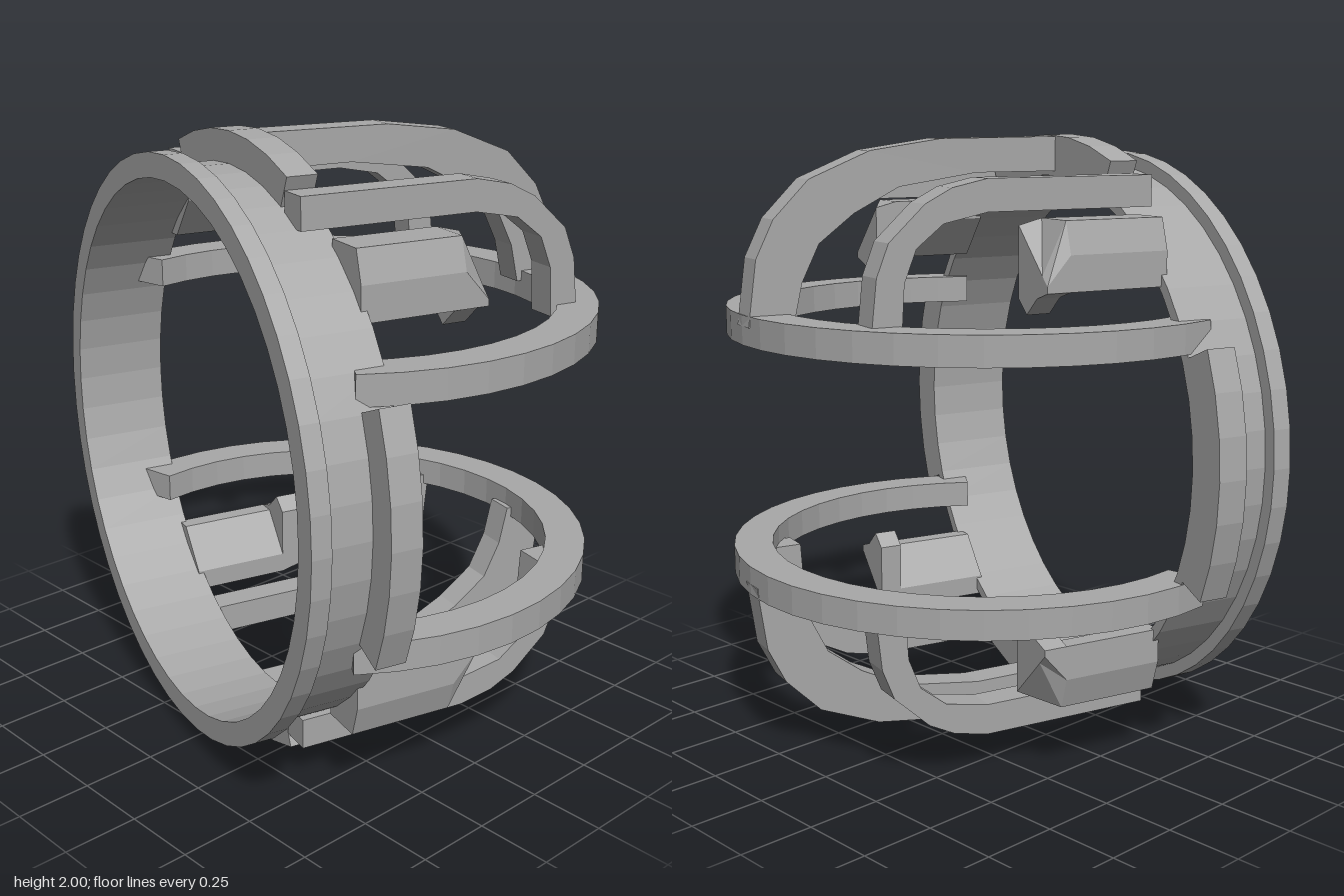
import * as THREE from 'three';

const grey = new THREE.MeshStandardMaterial({ color: 0xa8a8a8, flatShading: true });
grey.name = 'grey';

function add(parent, name, geometry) {
  const mesh = new THREE.Mesh(geometry, grey);
  mesh.name = name;
  parent.add(mesh);
  return mesh;
}

function extrude(points, depth) {
  const shape = new THREE.Shape(points.map(([x, y]) => new THREE.Vector2(x, y)));
  return new THREE.ExtrudeGeometry(shape, { depth, bevelEnabled: false });
}

// Points of a band between two radii, from angle a to angle b
function band(outer, inner, a, b, steps, cy = 0) {
  const points = [];
  for (let i = 0; i <= steps; i++) {
    const t = a + (b - a) * i / steps;
    points.push([outer * Math.cos(t), cy + outer * Math.sin(t)]);
  }
  for (let i = steps; i >= 0; i--) {
    const t = a + (b - a) * i / steps;
    points.push([inner * Math.cos(t), cy + inner * Math.sin(t)]);
  }
  return points;
}

export function createModel() {
  const model = new THREE.Group();
  model.name = 'ringCage';
  const body = new THREE.Group();
  body.name = 'body';
  body.position.set(0.08, 1, 0.02);
  body.rotation.y = -Math.PI / 12;
  model.add(body);

  // Round collar with a front flange
  const profile = [[0.865, 0.25], [0.9, 0.25], [0.9, 0.5], [0.943, 0.5],
    [0.943, 0.563], [0.865, 0.563], [0.865, 0.25]];
  const collar = new THREE.LatheGeometry(
    profile.map(([r, z]) => new THREE.Vector2(r, z)), 48);
  collar.rotateX(Math.PI / 2);
  // rotateX sends the lathe axis to +z
  add(body, 'collar', collar);

  // Four raised arc ribs at the back of the collar
  for (let i = 0; i < 4; i++) {
    const mid = i * Math.PI / 2;
    const rib = extrude(band(1, 0.88, mid - 0.4, mid + 0.4, 6), 0.1);
    rib.translate(0, 0, 0.25);
    add(body, 'collarRib', rib);
  }

  // Two flat hoops curving round the back
  for (const y of [0.36, -0.455]) {
    const hoop = extrude(band(0.87, 0.74, -0.4, Math.PI + 0.4, 26, -0.02), 0.095);
    hoop.rotateX(-Math.PI / 2);
    hoop.translate(0.01, y, 0);
    add(body, 'hoop', hoop);
  }

  // Curved bars from collar to hoop, as [z, y] outlines
  const middleBar = [[0.35, 0.995], [-0.18, 0.99], [-0.43, 0.955], [-0.64, 0.87], [-0.76, 0.75],
    [-0.82, 0.63], [-0.85, 0.42], [-0.7, 0.42], [-0.67, 0.55], [-0.61, 0.67],
    [-0.49, 0.76], [-0.33, 0.84], [-0.05, 0.88], [0.35, 0.88]];
  const sideBar = [[0.35, 0.88], [-0.24, 0.88], [-0.36, 0.855], [-0.45, 0.81], [-0.57, 0.7],
    [-0.61, 0.6], [-0.63, 0.42], [-0.53, 0.42], [-0.52, 0.58], [-0.48, 0.68],
    [-0.39, 0.75], [-0.24, 0.78], [0.35, 0.78]];
  for (const half of [0, 1]) {
    const bars = new THREE.Group();
    bars.name = half ? 'lowerBars' : 'upperBars';
    bars.rotation.z = half * Math.PI;
    body.add(bars);
    for (const x of [-0.425, 0, 0.425]) {
      const outline = x === 0 ? middleBar : sideBar;
      const bar = extrude(outline.map(([z, y]) => [-z, y]), 0.1);
      bar.rotateY(Math.PI / 2);
      bar.translate(x - 0.05, 0, 0);
      add(bars, x === 0 ? 'middleBar' : 'sideBar', bar);
    }
  }

  // Four clips with hooked, sloping tips
  const armSection = [[0.51, 0.69], [0.51, 0.76], [0.65, 0.76], [0.68, 0.66], [0.68, 0.55], [0.62, 0.55]];
  const tipSection = [[0.51, 0.76], [0.65, 0.76], [0.68, 0.66], [0.68, 0.55],
    [0.62, 0.53], [0.56, 0.475], [0.51, 0.52]];
  for (const sx of [-1, 1]) {
    for (const sy of [-1, 1]) {
      const clip = new THREE.Group();
      clip.name = 'clip';
      body.add(clip);
      const place = ([x, y]) => [x * sx, y * sy];
      const arm = extrude(armSection.map(place), 0.345);
      arm.translate(0, 0, -0.075);
      add(clip, 'clipArm', arm);
      const tip = extrude(tipSection.map(place), 0.08);
      const p = tip.attributes.position;
      for (let i = 0; i < p.count; i++) {
        if (p.getZ(i) > 0.01) continue;
        const limit = 0.74 - (Math.abs(p.getX(i)) - 0.51);
        p.setY(i, sy * Math.min(Math.abs(p.getY(i)), limit));
      }
      tip.translate(0, 0, -0.155);
      tip.computeVertexNormals();
      add(clip, 'clipTip', tip);
    }
  }
  return model;
}
